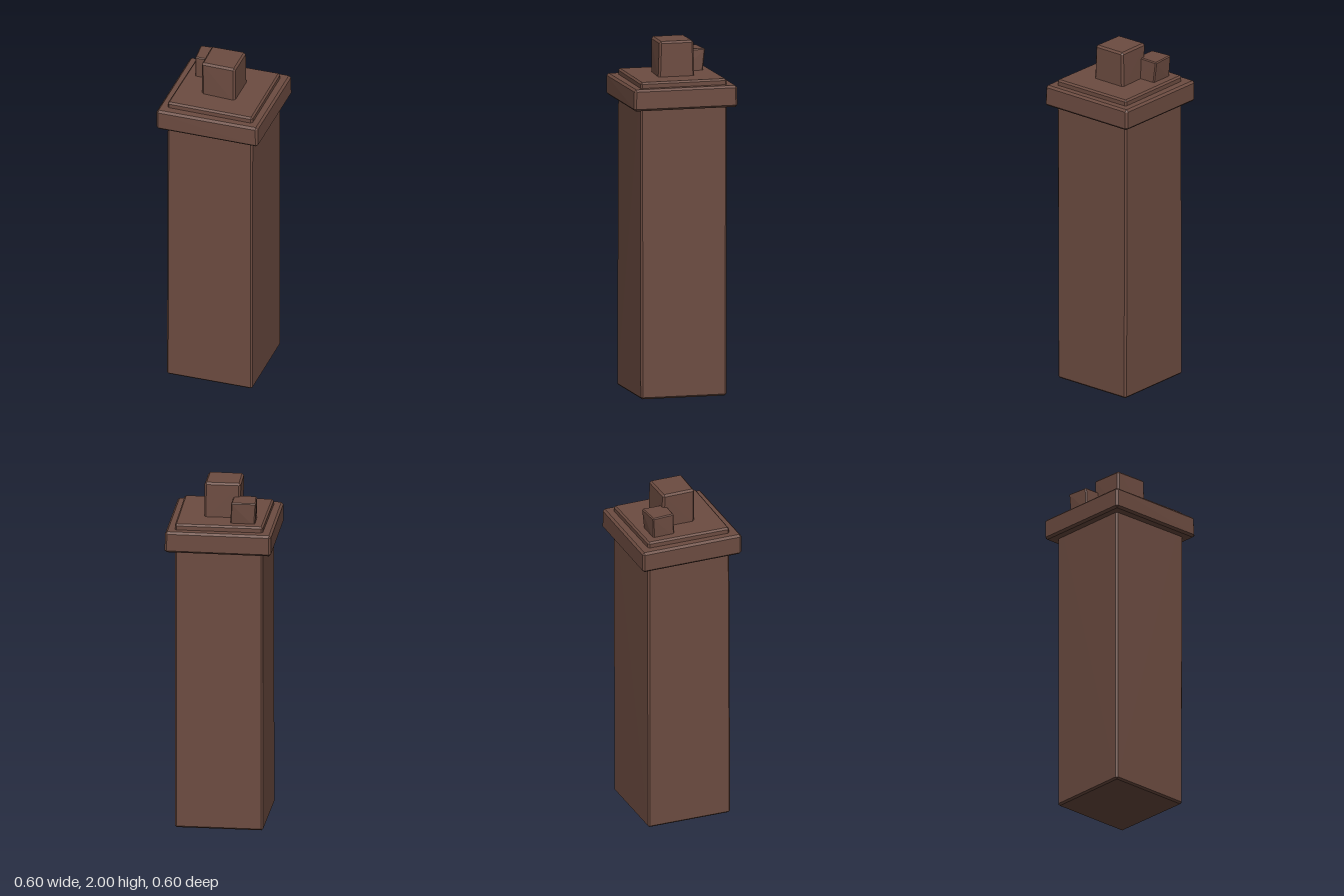
import * as THREE from 'three';
import { ConvexGeometry } from 'three/addons/geometries/ConvexGeometry.js';

const brick = new THREE.MeshStandardMaterial({ color: 0x6d4c41, flatShading: true });

// Slightly uneven chamfered block. Each quad lists [x, z] corners in the order
// back left, back right, front right, front left as seen from above.
function block(name, bottom, top, y0, y1, bevel) {
  const points = [];
  [[bottom, y0, -1], [top, y1, 1]].forEach(([quad, y, sy]) => {
    quad.forEach(([x, z], i) => {
      const sx = i === 1 || i === 2 ? 1 : -1;
      const sz = i >= 2 ? 1 : -1;
      const inX = x - sx * bevel, inY = y - sy * bevel, inZ = z - sz * bevel;
      points.push(
        new THREE.Vector3(x, inY, inZ),
        new THREE.Vector3(inX, y, inZ),
        new THREE.Vector3(inX, inY, z)
      );
    });
  });
  const mesh = new THREE.Mesh(new ConvexGeometry(points), brick);
  mesh.name = name;
  return mesh;
}

export function createModel() {
  const group = new THREE.Group();
  group.name = 'chimney';

  // Tall shaft, rising through the cap to form the low step on top
  group.add(block('shaft',
    [[-0.25, -0.247], [0.248, -0.25], [0.25, 0.247], [-0.255, 0.25]],
    [[-0.248, -0.247], [0.248, -0.252], [0.252, 0.25], [-0.252, 0.245]],
    0, 1.8, 0.01));

  // Overhanging cap
  group.add(block('cap',
    [[-0.3, -0.3], [0.3, -0.3], [0.3, 0.3], [-0.3, 0.3]],
    [[-0.3, -0.3], [0.297, -0.3], [0.297, 0.297], [-0.3, 0.3]],
    1.645, 1.767, 0.012));

  // Large flue block in the middle
  group.add(block('mainFlue',
    [[-0.1, -0.1], [0.1, -0.105], [0.1, 0.105], [-0.1, 0.095]],
    [[-0.106, -0.098], [0.098, -0.1], [0.098, 0.098], [-0.102, 0.095]],
    1.78, 2, 0.011));

  // Small leaning flue block at the back
  group.add(block('smallFlue',
    [[-0.197, -0.195], [-0.06, -0.195], [-0.058, -0.06], [-0.195, -0.067]],
    [[-0.205, -0.2], [-0.064, -0.21], [-0.066, -0.07], [-0.195, -0.07]],
    1.78, 1.922, 0.006));

  return group;
}
